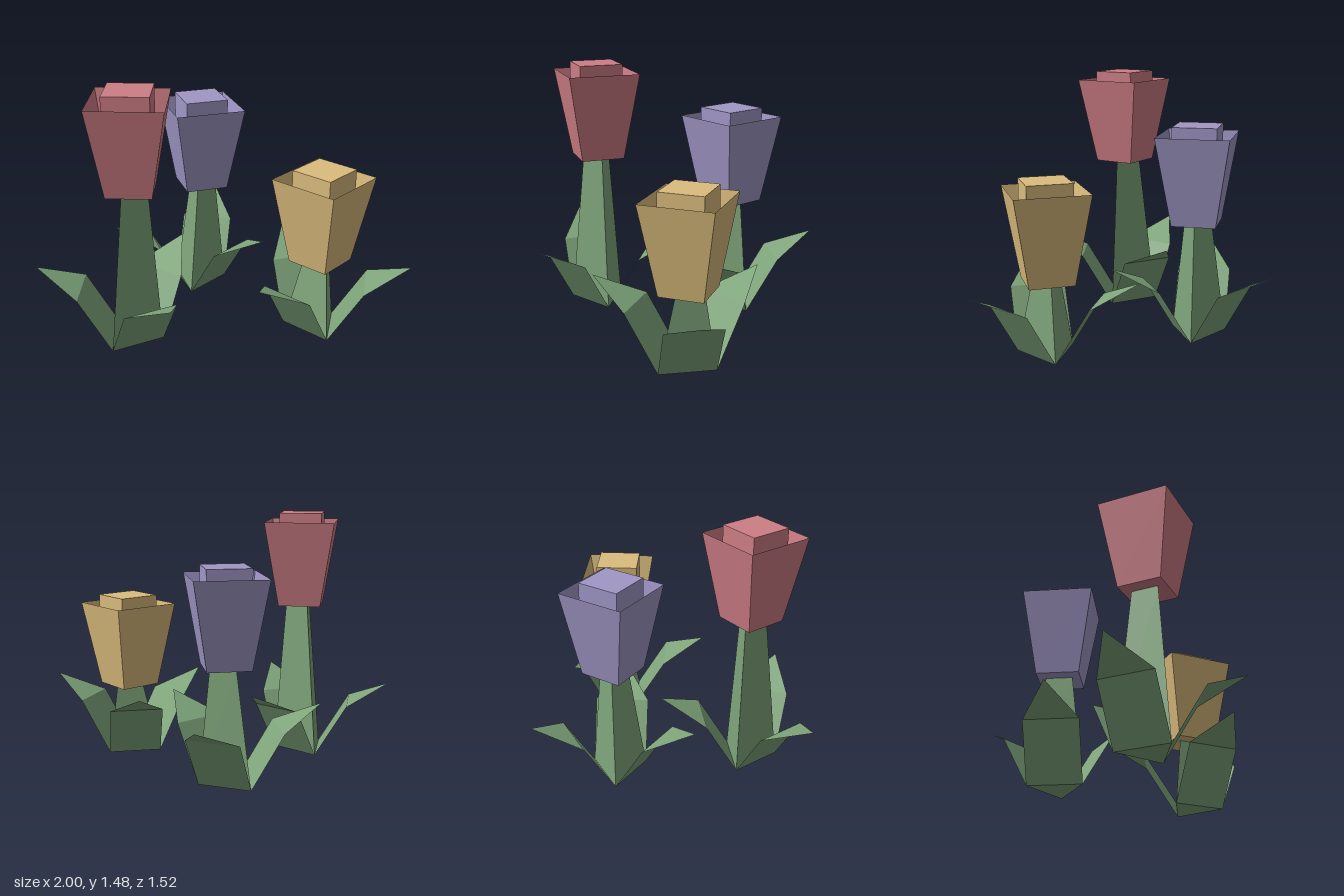
import * as THREE from 'three';

const STEM_R = 0.18;      // circumradius of the three-sided stem at the ground
const LEAN = 0.023;       // sideways shift of the stem top
const HEAD_H = 0.505;     // petal cup height

function material(name, color) {
  const m = new THREE.MeshStandardMaterial({ color, flatShading: true, side: THREE.DoubleSide });
  m.name = name;
  return m;
}

function part(name, geometry, mat) {
  const mesh = new THREE.Mesh(geometry, mat);
  mesh.name = name;
  return mesh;
}

// Folded leaf along +x: a rising rectangle, then a flatter pointed tip
function leafGeometry() {
  const w = 0.157, inner = STEM_R / 2;
  const g = new THREE.BufferGeometry();
  g.setAttribute('position', new THREE.Float32BufferAttribute([
    inner, 0, w, inner, 0, -w,
    0.277, 0.315, w, 0.277, 0.315, -w,
    0.527, 0.44, 0,
  ], 3));
  g.setIndex([0, 1, 2, 1, 3, 2, 2, 3, 4]);
  const flat = g.toNonIndexed();
  flat.computeVertexNormals();
  return flat;
}

// Three-sided tapering stem with a ridge towards +x, sheared slightly
function stemGeometry(h) {
  const g = new THREE.CylinderGeometry(0.09, STEM_R, h, 3, 1, false, Math.PI / 2);
  g.translate(0, h / 2, 0);
  const p = g.attributes.position;
  for (let i = 0; i < p.count; i++) p.setX(i, p.getX(i) + LEAN * p.getY(i) / h);
  g.computeVertexNormals();
  return g;
}

function tulip(name, h, petal, green) {
  const plant = new THREE.Group();
  plant.name = name;
  plant.add(part('stem', stemGeometry(h), green));

  // Three leaves, one on each flat side of the stem
  const leaf = leafGeometry();
  for (let i = 0; i < 3; i++) {
    const mesh = part('leaf', leaf, green);
    mesh.rotation.y = Math.PI + i * Math.PI * 2 / 3;
    plant.add(mesh);
  }

  // Open flaring cup around a square core
  const head = new THREE.Group();
  head.name = 'flowerHead';
  head.position.set(LEAN, h, 0);
  const cup = new THREE.CylinderGeometry(0.205 * Math.SQRT2, 0.125 * Math.SQRT2, HEAD_H, 4, 1, true, Math.PI / 4);
  cup.translate(0, HEAD_H / 2, 0);
  head.add(part('petals', cup, petal));
  const core = new THREE.BoxGeometry(0.25, HEAD_H + 0.05, 0.25);
  core.translate(0, (HEAD_H + 0.05) / 2, 0);
  head.add(part('innerPetals', core, petal));
  plant.add(head);
  return plant;
}

export function createModel() {
  const model = new THREE.Group();
  model.name = 'tulips';
  const green = material('leafGreen', 0x7fa57b);
  const plants = [
    ['redTulip', -0.507, 0.244, -20, 0.92, material('petalRed', 0xcd7d85)],
    ['purpleTulip', 0.057, -0.305, 0, 0.67, material('petalPurple', 0xa097c6)],
    ['yellowTulip', 0.542, 0.438, 30, 0.42, material('petalYellow', 0xdbbc7d)],
  ];
  for (const [name, x, z, turn, h, petal] of plants) {
    const plant = tulip(name, h, petal, green);
    plant.position.set(x, 0, z);
    plant.rotation.y = THREE.MathUtils.degToRad(turn);
    model.add(plant);
  }
  return model;
}
